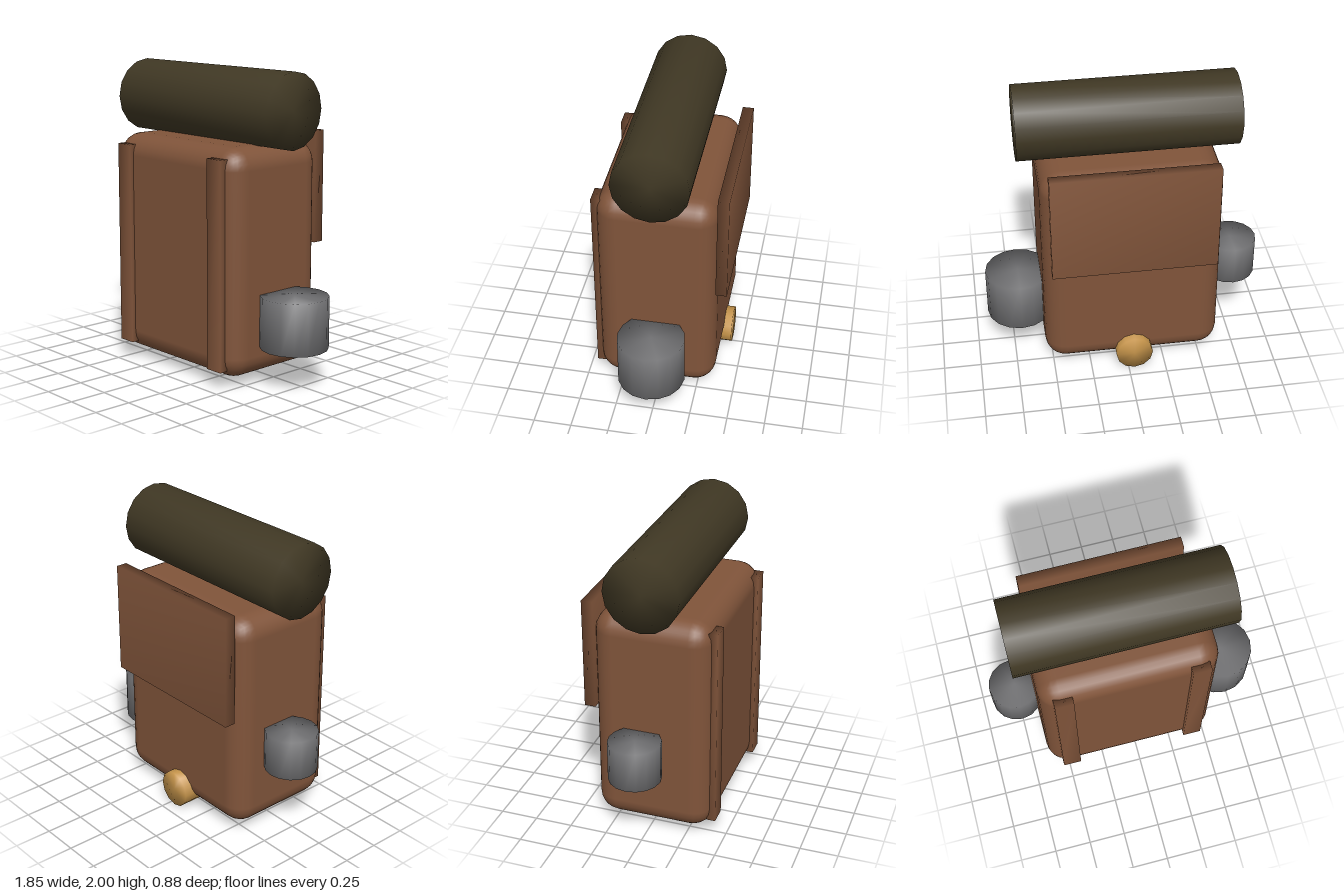
import * as THREE from 'three';
import { mergeVertices } from 'three/addons/utils/BufferGeometryUtils.js';
import { RoundedBoxGeometry } from 'three/addons/geometries/RoundedBoxGeometry.js';

const mat = (name, color) => {
  const m = new THREE.MeshStandardMaterial({ color });
  m.name = name;
  return m;
};

// Weld shared corners so the shading runs softly over every edge
function soften(geometry) {
  geometry.deleteAttribute('uv');
  geometry.deleteAttribute('normal');
  const welded = mergeVertices(geometry, 1e-4);
  welded.computeVertexNormals();
  return welded;
}

export function createModel() {
  const group = new THREE.Group();
  group.name = 'backpack';
  const leather = mat('brown leather', 0x80543a);
  const blanket = mat('dark olive cloth', 0x403824);
  const metal = mat('grey metal', 0x717173);
  const brass = mat('brass', 0xc4934a);

  const add = (name, geometry, material, x, y, z) => {
    const mesh = new THREE.Mesh(geometry, material);
    mesh.name = name;
    mesh.position.set(x, y, z);
    group.add(mesh);
    return mesh;
  };
  const softBox = (w, h, d) => soften(new THREE.BoxGeometry(w, h, d));
  const softCylinder = (r, h, sides = 16) => soften(new THREE.CylinderGeometry(r, r, h, sides));

  // Main bag
  add('bag', new RoundedBoxGeometry(1.18, 1.48, 0.78, 3, 0.14), leather, -0.04, 0.795, 0.02);

  // Shoulder straps on the front
  for (const [name, side] of [['leftStrap', 1], ['rightStrap', -1]]) {
    add(name, softBox(0.124, 1.355, 0.06), leather, -0.04 + side * 0.443, 0.793, 0.407);
  }

  // Closing flap on the back
  add('flap', softBox(1.08, 0.74, 0.074), leather, -0.04, 1.215, -0.402);

  // Rolled blanket lying across the top
  add('bedroll', softCylinder(0.245, 1.425), blanket, -0.037, 1.755, 0.018).rotation.z = Math.PI / 2;

  // Metal pots hanging at the sides
  add('leftPot', softCylinder(0.22, 0.34), metal, 0.7, 0.425, 0.017);
  add('rightPot', softCylinder(0.172, 0.27), metal, -0.753, 0.62, -0.035);

  // Brass lantern low on the back
  add('lantern', softCylinder(0.124, 0.2, 12), brass, -0.04, 0.126, -0.325).rotation.x = Math.PI / 2;

  return group;
}
